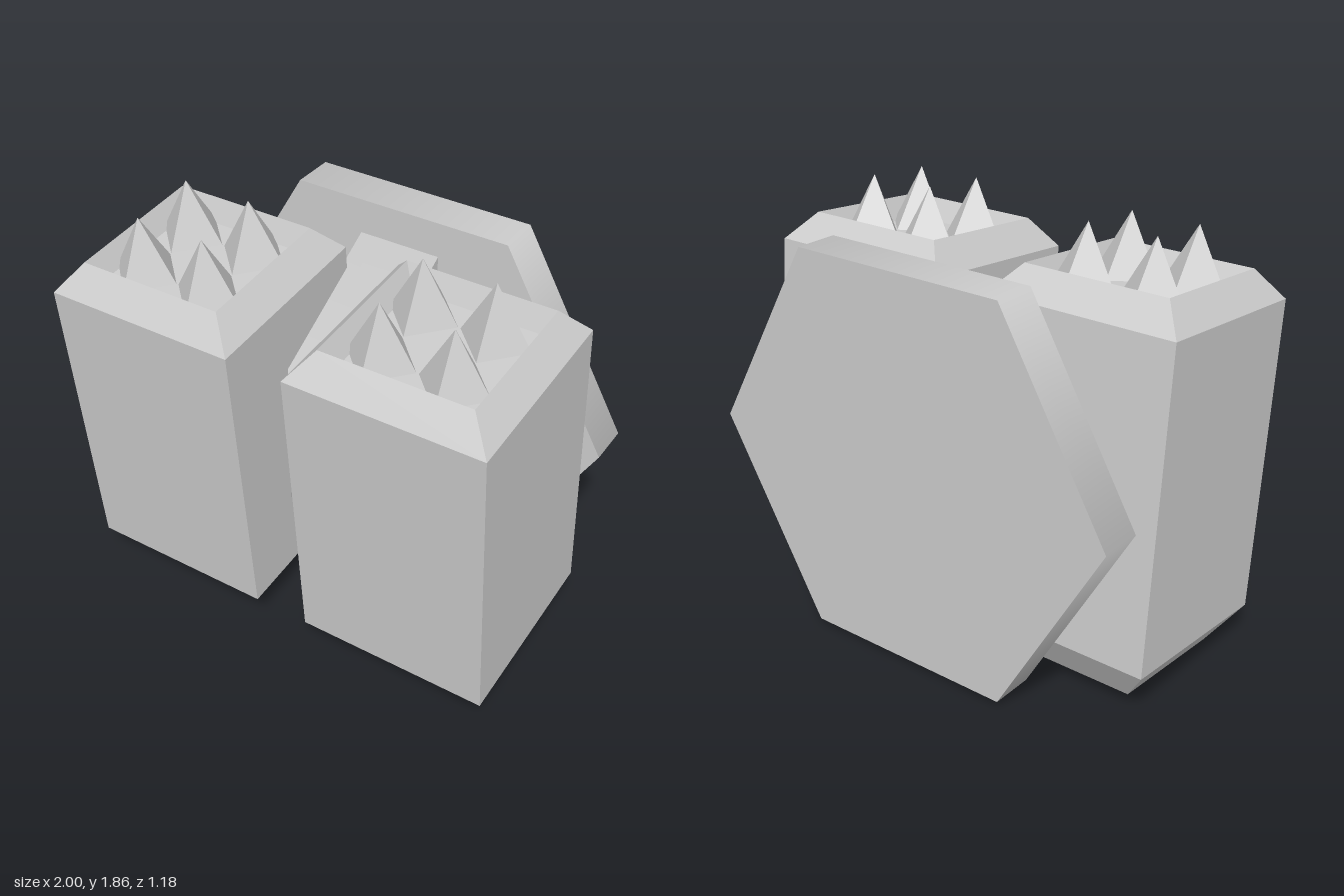
import * as THREE from 'three';

const flat = new THREE.MeshStandardMaterial({ color: 0xcccccc, flatShading: true });
const smooth = new THREE.MeshStandardMaterial({ color: 0xcccccc });

function part(name, geometry, material, parent) {
  const mesh = new THREE.Mesh(geometry, material);
  mesh.name = name;
  parent.add(mesh);
  return mesh;
}

// Chamfered square block with a shallow recess in its top, as a four-sided lathe
function blockGeometry() {
  const profile = [
    [0, -0.85], [0.31, -0.85], [0.4275, -0.6825], [0.4275, 0.6825],
    [0.325, 0.8025], [0.275, 0.7075], [0, 0.7075],
  ].map(([half, y]) => new THREE.Vector2(half * Math.SQRT2, y));
  const g = new THREE.LatheGeometry(profile, 4);
  g.rotateY(Math.PI / 4);
  g.scale(1, 1, 0.973);
  return g;
}

// One block leaning forward, with four pyramid spikes standing in its recess
function createBlock(name, x) {
  const block = new THREE.Group();
  block.name = name;
  part('blockBody', blockGeometry(), flat, block);
  for (const sx of [-1, 1]) {
    for (const sz of [-1, 1]) {
      const spike = part('spike', new THREE.ConeGeometry(0.15, 0.265, 4), flat, block);
      spike.position.set(sx * 0.155, 0.7075 + 0.1325, sz * 0.153);
    }
  }
  block.position.set(x, 0.8775, 0.116);
  block.rotation.x = THREE.MathUtils.degToRad(5);
  return block;
}

export function createModel() {
  const model = new THREE.Group();
  model.name = 'twinBlockMount';

  // Hexagonal back plate
  const plateGeo = new THREE.CylinderGeometry(0.985, 0.985, 0.193, 6);
  plateGeo.rotateY(Math.PI / 6);
  plateGeo.rotateX(Math.PI / 2);
  part('backPlate', plateGeo, smooth, model).position.set(0.015, 0.88, -0.495);

  // Half-hexagon bracket reaching from the plate between the blocks
  const bracketGeo = new THREE.CylinderGeometry(0.685, 0.685, 0.37, 3, 1, false, -Math.PI / 2, Math.PI);
  bracketGeo.rotateZ(Math.PI / 2);
  part('bracket', bracketGeo, smooth, model).position.set(0.015, 0.895, -0.401);

  // Left and right blocks
  model.add(createBlock('leftBlock', 0.535), createBlock('rightBlock', -0.572));
  return model;
}
